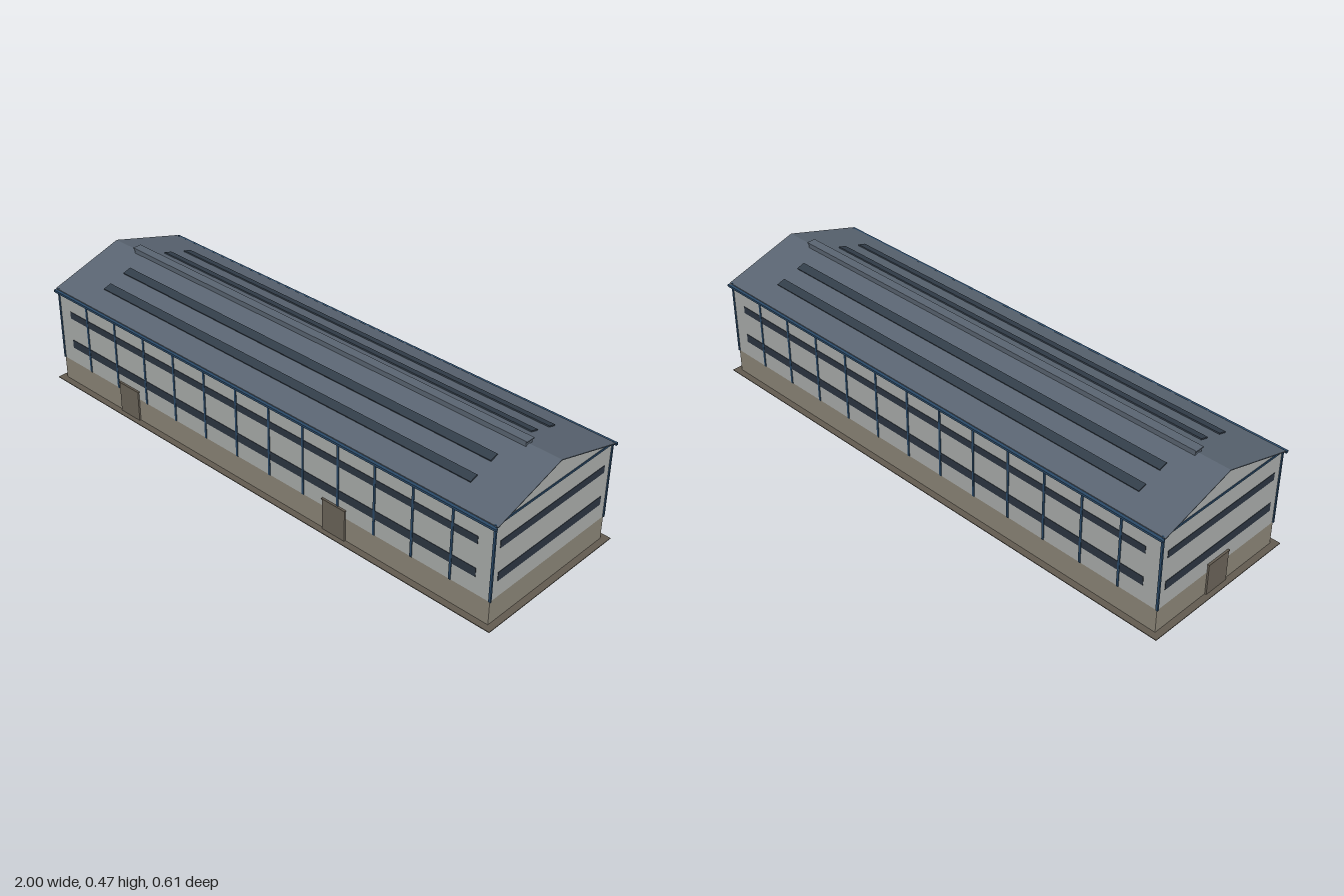
import * as THREE from 'three';

const mat = (name, color) => {
  const m = new THREE.MeshStandardMaterial({ color });
  m.name = name;
  return m;
};

export function createModel() {
  const model = new THREE.Group();
  model.name = 'longHall';

  const wallGrey = mat('wallGrey', 0xacafad);
  const plinthTan = mat('plinthTan', 0x8d8779);
  const slabBrown = mat('slabBrown', 0x625b50);
  const roofSlate = mat('roofSlate', 0x5a6572);
  const glassDark = mat('glassDark', 0x2c3642);
  const skylightDark = mat('skylightDark', 0x333e4a);
  const steelBlue = mat('steelBlue', 0x2b4a68);
  const doorBrown = mat('doorBrown', 0x6c655a);

  const HX = 0.977, HZ = 0.282;      // half size of the walls
  const EAVE = 0.37, RIDGE = 0.455;
  const SLOPE = Math.atan2(RIDGE - EAVE, 0.284);

  function box(name, material, w, h, d, x, y, z, parent = model) {
    const mesh = new THREE.Mesh(new THREE.BoxGeometry(w, h, d), material);
    mesh.name = name;
    mesh.position.set(x, y, z);
    parent.add(mesh);
    return mesh;
  }

  // Extrude a (z, y) outline along the length of the hall
  function alongX(name, material, points, length) {
    const shape = new THREE.Shape(points.map(([z, y]) => new THREE.Vector2(z, y)));
    const geo = new THREE.ExtrudeGeometry(shape, { depth: length, bevelEnabled: false });
    geo.translate(0, 0, -length / 2).rotateY(Math.PI / 2);
    const mesh = new THREE.Mesh(geo, material);
    mesh.name = name;
    model.add(mesh);
  }

  // Ground slab, plinth and walls with gables
  box('groundSlab', slabBrown, 2, 0.003, 0.61, 0, 0.0025, 0);
  box('plinth', plinthTan, HX * 2, 0.087, HZ * 2, 0, 0.0465, 0);
  alongX('walls', wallGrey, [
    [-HZ, 0.09], [HZ, 0.09], [HZ, EAVE - 0.004], [0, RIDGE - 0.004], [-HZ, EAVE - 0.004],
  ], HX * 2);

  // Thin pitched roof
  alongX('roof', roofSlate, [
    [-0.285, EAVE - 0.003], [0, RIDGE - 0.003], [0.285, EAVE - 0.003],
    [0.285, EAVE], [0, RIDGE], [-0.285, EAVE],
  ], 1.976);

  // Ridge ventilator with cap
  box('ridgeVent', roofSlate, 1.74, 0.02, 0.03, 0, 0.456, 0);
  box('ridgeVentCap', roofSlate, 1.75, 0.004, 0.034, 0, 0.468, 0);

  for (const s of [1, -1]) {
    // Skylight strips lying on each slope
    for (const z of [0.096, 0.187]) {
      const y = RIDGE - z * Math.tan(SLOPE) + 0.002;
      box('skylight', skylightDark, 1.64, 0.005, 0.032, 0, y, s * z).rotation.x = s * SLOPE;
    }

    // Gutter and eave band
    box('gutter', steelBlue, 1.976, 0.008, 0.009, 0, 0.363, s * 0.2915);
    box('eaveBand', steelBlue, HX * 2, 0.008, 0.006, 0, 0.363, s * 0.284);

    // Ribbon windows on long sides and ends
    for (const [y, h] of [[0.168, 0.032], [0.286, 0.027]]) {
      box('sideWindowBand', glassDark, 1.84, h, 0.003, 0, y, s * HZ);
      box('endWindowBand', glassDark, 0.003, h, 0.506, s * HX, y, 0);
    }

    // Gable tie band
    box('gableBand', steelBlue, 0.006, 0.007, 0.57, s * HX, 0.368, 0);

    // Posts on every bay line, corners included
    for (let i = 0; i <= 13; i++) {
      box('post', steelBlue, 0.008, 0.276, 0.006, -HX + (i * 2 * HX) / 13, 0.228, s * 0.2815);
    }
  }

  // Doors: two at the front, one on the right-hand end
  function door(x, z, angle) {
    const g = new THREE.Group();
    g.name = 'door';
    box('doorLeaf', doorBrown, 0.096, 0.114, 0.008, 0, 0.061, 0, g);
    box('doorLintel', slabBrown, 0.1, 0.004, 0.011, 0, 0.12, 0, g);
    g.position.set(x, 0, z);
    g.rotation.y = angle;
    model.add(g);
  }
  door(-0.615, HZ + 0.002, 0);
  door(0.362, HZ + 0.002, 0);
  door(-HX - 0.002, 0, -Math.PI / 2);

  // Small footing plates under the slab
  const footings = [
    [0.52, -0.14, 1], [0.18, -0.14, 1], [-0.55, -0.126, 1],
    [0.56, -0.07], [0.44, -0.07], [0.26, -0.08], [0.13, -0.07],
    [0.515, 0.11], [0.186, 0.117], [-0.55, -0.01], [-0.55, 0.08],
  ];
  for (const [x, z, dark] of footings) {
    box('footingPlate', dark ? glassDark : doorBrown, 0.05, 0.002, 0.045, x, 0.001, z);
  }

  return model;
}
